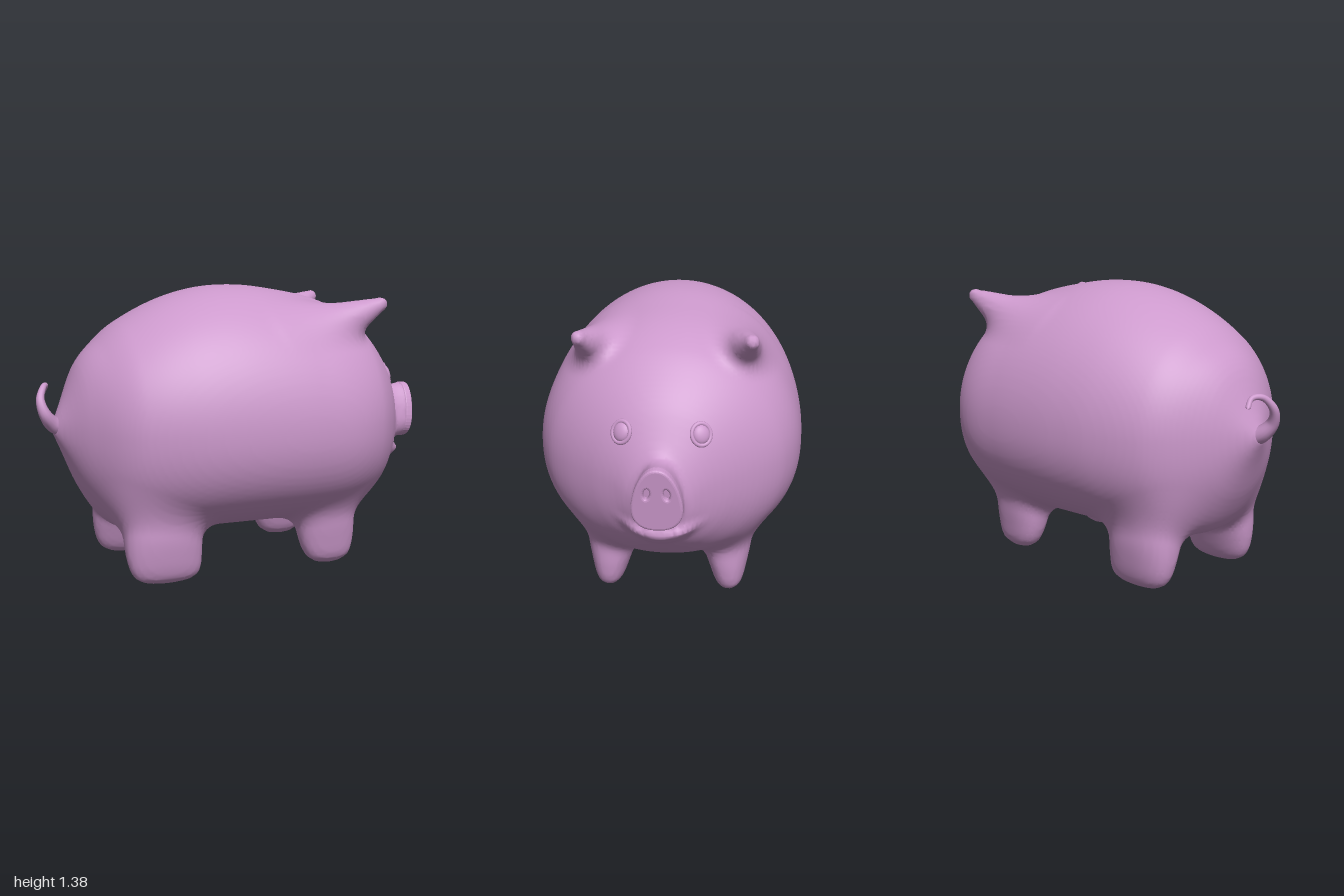
import * as THREE from 'three';

const V = (x, y, z) => new THREE.Vector3(x, y, z);
const { clamp, lerp } = THREE.MathUtils;
const pink = new THREE.MeshStandardMaterial({ color: 0xcc99cc });

function named(name, geo) {
  const mesh = new THREE.Mesh(geo, pink);
  mesh.name = name;
  return mesh;
}

// Smooth interpolation in a table whose first column is the key
function lookup(rows, key) {
  const last = rows.length - 1;
  let i = 0;
  while (i < last - 1 && key > rows[i + 1][0]) i++;
  const b = rows[i], c = rows[i + 1], a = rows[Math.max(0, i - 1)], d = rows[Math.min(last, i + 2)];
  const span = c[0] - b[0], t = clamp((key - b[0]) / span, 0, 1), t2 = t * t, t3 = t2 * t;
  return b.map((v, k) => {
    const mb = span * (c[k] - a[k]) / (c[0] - a[0]), mc = span * (d[k] - v) / (d[0] - b[0]);
    return v * (2 * t3 - 3 * t2 + 1) + mb * (t3 - 2 * t2 + t) + c[k] * (3 * t2 - 2 * t3) + mc * (t3 - t2);
  });
}

// Barrel: x, bottom, widest height, top, half width
const barrel = [
  [-0.925, 0.70, 0.72, 0.74, 0.02], [-0.88, 0.60, 0.72, 0.84, 0.105], [-0.80, 0.42, 0.72, 1.02, 0.25],
  [-0.70, 0.27, 0.72, 1.13, 0.39], [-0.60, 0.22, 0.72, 1.21, 0.47], [-0.40, 0.205, 0.72, 1.31, 0.548],
  [-0.20, 0.205, 0.72, 1.365, 0.59], [0, 0.205, 0.72, 1.375, 0.612], [0.20, 0.205, 0.72, 1.35, 0.617],
  [0.40, 0.215, 0.72, 1.305, 0.60], [0.55, 0.245, 0.72, 1.235, 0.54], [0.65, 0.285, 0.71, 1.15, 0.45],
  [0.75, 0.36, 0.70, 1.03, 0.315], [0.82, 0.42, 0.68, 0.90, 0.20], [0.87, 0.46, 0.64, 0.79, 0.12],
  [0.895, 0.52, 0.63, 0.72, 0.06],
];
// Legs: y, centre x, centre z, radius x, radius z
const frontLeg = [
  [0, 0.39, 0.288, 0.05, 0.025], [0.008, 0.39, 0.288, 0.075, 0.037], [0.04, 0.387, 0.288, 0.115, 0.064],
  [0.12, 0.38, 0.283, 0.142, 0.09], [0.25, 0.375, 0.272, 0.155, 0.122], [0.48, 0.40, 0.25, 0.18, 0.15],
  [0.7, 0.40, 0.2, 0.1, 0.08],
];
const rearLeg = [
  [0, -0.46, 0.288, 0.07, 0.025], [0.008, -0.46, 0.288, 0.115, 0.04], [0.04, -0.465, 0.288, 0.16, 0.067],
  [0.12, -0.473, 0.282, 0.182, 0.095], [0.25, -0.475, 0.265, 0.19, 0.125], [0.48, -0.47, 0.23, 0.19, 0.14],
  [0.7, -0.45, 0.2, 0.1, 0.08],
];
// Muzzle: x, centre y, scale of the nose outline
const muzzle = [[0.78, 0.67, 1.4], [0.83, 0.68, 1.15], [0.87, 0.687, 1.0], [0.91, 0.692, 0.95], [0.962, 0.697, 0.97]];
const nose = { height: 0.146, width: s => 0.107 - 0.03 * s, power: 2.3 };

// Distance-like fields, negative inside
const oval = (u, v, p) => (Math.abs(u) ** p + Math.abs(v) ** p) ** (1 / p) - 1;

function barrelField(x, y, z) {
  const [, lo, mid, hi, w] = lookup(barrel, x);
  const h = y > mid ? hi - mid : mid - lo;
  const d = oval(z / w, (y - mid) / h, y > mid ? 2 : 2.2) * Math.min(w, h);
  return Math.max(d, -0.925 - x, x - 0.895);
}
function legField(rows, x, y, z) {
  const [, cx, cz, rx, rz] = lookup(rows, y);
  return Math.max(oval((x - cx) / rx, (z - cz) / rz, 2.3) * Math.min(rx, rz), -y);
}
const earRoot = V(0.18, 1.07, 0.245), earTip = V(0.612, 1.285, 0.375), earAxis = earTip.clone().sub(earRoot);
function earField(x, y, z) {
  const p = V(x, y, z).sub(earRoot);
  const t = clamp(p.dot(earAxis) / earAxis.lengthSq(), 0, 1);
  return p.addScaledVector(earAxis, -t).length() - lerp(0.205, 0.033, t);
}
function muzzleField(x, y, z) {
  const [, cy, k] = lookup(muzzle, x);
  const h = y - cy, s = h / (nose.height * k), tx = x - h * 0.09;
  const d = oval(z / (k * nose.width(clamp(s, -1, 1))), s, nose.power) * k * 0.1;
  return Math.max(d, tx - 0.962, 0.78 - tx);
}
// Lower lip, its corners turned up into a smile
function lipField(x, y, z) {
  const dx = x - 0.8, dy = y - 0.47 - 1.5 * z * z, c = Math.cos(0.28), s = Math.sin(0.28);
  return (Math.hypot((dx * c + dy * s) / 0.128, (dy * c - dx * s) / 0.04, z / 0.155) - 1) * 0.05;
}
function blend(a, b, k) {
  const h = Math.max(k - Math.abs(a - b), 0) / k;
  return Math.min(a, b) - h * h * k / 4;
}
function pigField(x, y, z) {
  const side = Math.abs(z);
  let d = barrelField(x, y, z);
  if (y < 0.7) d = blend(d, legField(x > 0 ? frontLeg : rearLeg, x, y, side), 0.08);
  if (y > 0.8) d = blend(d, earField(x, y, side), 0.08);
  if (x > 0.6) d = blend(blend(d, lipField(x, y, z), 0.03), muzzleField(x, y, z), 0.035);
  return d;
}

// Skin where the field is zero: one point per crossed grid cell, one quad per crossed grid edge
function skin(field, min, size, step) {
  const n = size.map(s => Math.ceil(s / step) + 1), stride = [1, n[0], n[0] * n[1]];
  const total = n[0] * n[1] * n[2], values = new Float32Array(total), cell = new Map(), pts = [], idx = [];
  const coords = i => [i % n[0], Math.floor(i / n[0]) % n[1], Math.floor(i / stride[2])];
  const place = i => V(...coords(i).map((c, a) => min[a] + c * step));
  for (let i = 0; i < total; i++) values[i] = field(...place(i).toArray());
  const edges = [];
  for (let i = 0; i < total; i++) {
    const c = coords(i);
    for (let a = 0; a < 3; a++) {
      if (c[a] + 1 >= n[a]) continue;
      const v = values[i], w = values[i + stride[a]];
      if (v < 0 === w < 0) continue;
      const su = stride[(a + 1) % 3], sv = stride[(a + 2) % 3];
      const cells = [i, i - su, i - su - sv, i - sv];
      const p = place(i).setComponent(a, min[a] + (c[a] + v / (v - w)) * step);
      for (const k of cells) {
        if (!cell.has(k)) cell.set(k, { id: cell.size, sum: V(0, 0, 0), count: 0 });
        cell.get(k).sum.add(p);
        cell.get(k).count++;
      }
      edges.push(v < 0 ? cells : cells.reverse());
    }
  }
  for (const { sum, count } of cell.values()) pts.push(sum.divideScalar(count));
  for (const e of edges) {
    const [a, b, c, d] = e.map(k => cell.get(k).id);
    idx.push(a, b, c, a, c, d);
  }
  // settle the points on the surface
  const e = 0.004;
  for (const p of pts) {
    const { x, y, z } = p, f = field(x, y, z);
    const g = V(field(x + e, y, z) - field(x - e, y, z), field(x, y + e, z) - field(x, y - e, z),
      field(x, y, z + e) - field(x, y, z - e)).divideScalar(2 * e);
    p.addScaledVector(g, -clamp(f / Math.max(g.lengthSq(), 0.05), -0.3 * step, 0.3 * step));
  }
  const geo = new THREE.BufferGeometry().setFromPoints(pts);
  geo.setIndex(idx);
  geo.computeVertexNormals();
  return geo;
}

// Nose plate with two nostril holes
function nosePlate() {
  const round = v => Math.sign(v) * Math.abs(v) ** (2 / nose.power);
  const shape = new THREE.Shape(Array.from({ length: 48 }, (_, j) => {
    const a = j / 24 * Math.PI, s = round(Math.sin(a));
    return new THREE.Vector2(round(Math.cos(a)) * nose.width(s) * 0.89, s * nose.height * 0.91);
  }));
  for (const side of [-1, 1]) {
    const hole = new THREE.Path();
    hole.absellipse(side * 0.043, 0.03, 0.024, 0.036, 0, Math.PI * 2, true, side * 0.15);
    shape.holes.push(hole);
  }
  const geo = new THREE.ExtrudeGeometry(shape, {
    depth: 0.024, bevelSize: 0.011, bevelThickness: 0.01, bevelSegments: 3, curveSegments: 10,
  });
  const plate = named('nosePlate', geo.rotateX(0.09).rotateY(Math.PI / 2));
  plate.position.set(0.953, 0.698, 0);
  return plate;
}

// Round eye with a slim lid ring
function eye(side) {
  const g = new THREE.Group();
  g.name = 'eye';
  const ball = named('eyeball', new THREE.SphereGeometry(0.038, 24, 16));
  ball.scale.z = 0.5;
  g.add(named('lid', new THREE.TorusGeometry(0.043, 0.009, 10, 28)), ball);
  g.scale.y = 1.1;
  g.position.set(0.775, 0.92, side * 0.172);
  g.lookAt(g.position.clone().add(V(0.85, 0.35, side * 0.38)));
  return g;
}

// Curled tail, tapering to the tip
function tail() {
  const curve = new THREE.CatmullRomCurve3([
    V(-0.87, 0.72, 0), V(-0.925, 0.745, 0.015), V(-0.965, 0.795, 0.03), V(-0.98, 0.86, 0.01),
    V(-0.955, 0.912, -0.035), V(-0.932, 0.912, -0.085), V(-0.94, 0.87, -0.125),
  ]);
  const n = 40, sides = 14, geo = new THREE.TubeGeometry(curve, n, 1, sides), pos = geo.attributes.position;
  for (let i = 0; i < pos.count; i++) {
    const t = Math.floor(i / (sides + 1)) / n, c = curve.getPointAt(t);
    const r = t === 1 ? 0 : 0.012 + 0.04 * (1 - t) ** 2.2;
    const p = V().fromBufferAttribute(pos, i).sub(c).multiplyScalar(r).add(c);
    pos.setXYZ(i, p.x, p.y, p.z);
  }
  return named('tail', geo);
}

export function createModel() {
  const model = new THREE.Group();
  model.name = 'pig';
  const body = named('bodyWithLegsEarsAndMuzzle', skin(pigField, [-0.963, -0.045, -0.666], [1.98, 1.48, 1.332], 0.018));
  model.add(body, nosePlate(), tail(), eye(-1), eye(1));
  return model;
}
